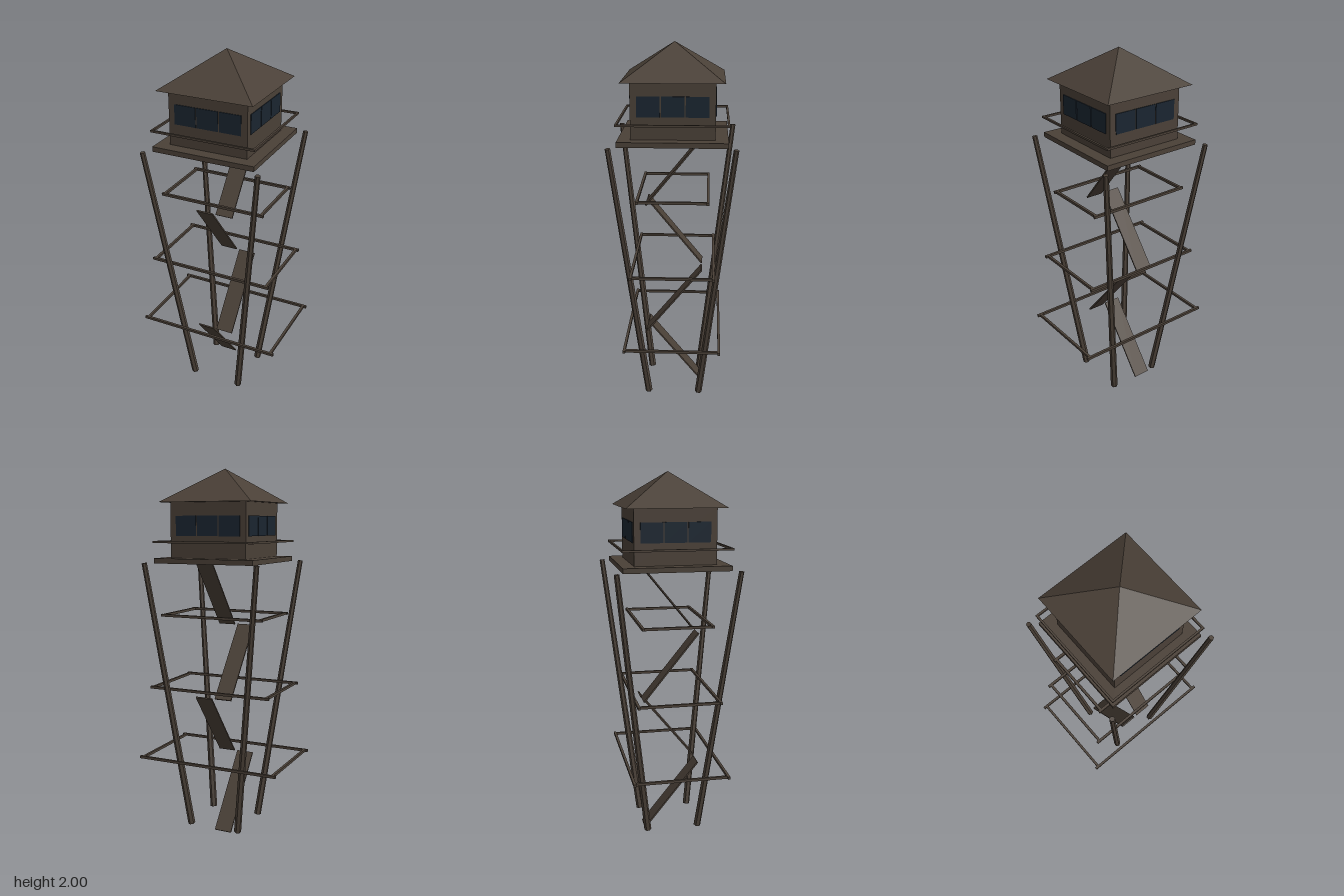
import * as THREE from 'three';

const paint = (color) => {
  const m = new THREE.MeshStandardMaterial({ flatShading: true });
  m.color.set(color);
  return m;
};

export function createModel() {
  const tower = new THREE.Group();
  tower.name = 'watchtower';
  const wood = paint(0x4a4037);
  const glass = paint(0x1a2530);

  const add = (name, geometry, material, x, y, z, parent = tower) => {
    const mesh = new THREE.Mesh(geometry, material);
    mesh.name = name;
    mesh.position.set(x, y, z);
    parent.add(mesh);
    return mesh;
  };
  const box = (name, w, h, d, x, y, z, material = wood, parent = tower) =>
    add(name, new THREE.BoxGeometry(w, h, d), material, x, y, z, parent);

  // Horizontal ring of four beams: x beams run to endX, z beams to endZ
  const ring = (name, y, atX, atZ, endX, endZ, t) => {
    const g = new THREE.Group();
    g.name = name;
    for (const s of [-1, 1]) {
      box('beamAcross', endX * 2, t, t, 0, y, s * atZ, wood, g);
      box('beamAlong', t, t, endZ * 2, s * atX, y, 0, wood, g);
    }
    tower.add(g);
  };

  // Four tapered legs splaying outward toward the top
  const up = new THREE.Vector3(0, 1, 0);
  for (const sx of [-1, 1]) for (const sz of [-1, 1]) {
    const foot = new THREE.Vector3(sx * 0.144, 0.014, sz * 0.144);
    const head = new THREE.Vector3(sx * 0.322, 1.503, sz * 0.322);
    const dir = head.clone().sub(foot);
    const mid = foot.clone().add(head).multiplyScalar(0.5);
    const leg = add('leg', new THREE.CylinderGeometry(0.014, 0.02, dir.length(), 6), wood, mid.x, mid.y, mid.z);
    leg.quaternion.setFromUnitVectors(up, dir.normalize());
  }

  // Brace rings, narrowing with height
  for (let i = 0; i < 3; i++) {
    const atX = 0.39 - i * 0.0525;
    const atZ = 0.255 - i * 0.035;
    ring('braceRing', 0.406 + i * 0.403, atX, atZ, 0.41 - i * 0.0555, atZ + 0.005, 0.014);
  }

  // Zigzag stair flights, alternating side and slope
  const rise = 0.378, run = 0.306;
  for (let i = 0; i < 4; i++) {
    const s = i % 2 ? 1 : -1;
    const flight = box('stairFlight', 0.098, 0.008, Math.hypot(rise, run), s * 0.058, 0.005 + rise * (i + 0.5), 0);
    flight.rotation.x = s * Math.atan2(rise, run);
  }

  // Platform with its railing
  box('platform', 0.57, 0.027, 0.57, 0, 1.514, 0);
  ring('railing', 1.613, 0.284, 0.284, 0.289, 0.289, 0.011);

  // Cabin with three panes on each wall
  box('cabin', 0.436, 0.295, 0.436, 0, 1.674, 0);
  for (let side = 0; side < 4; side++) {
    const wall = new THREE.Group();
    wall.name = 'windowRow';
    wall.rotation.y = side * Math.PI / 2;
    for (let i = -1; i <= 1; i++) box('windowPane', 0.119, 0.105, 0.008, i * 0.125, 1.697, 0.218, glass, wall);
    tower.add(wall);
  }

  // Pyramid roof
  const roof = add('roof', new THREE.ConeGeometry(0.265 * Math.SQRT2, 0.18, 4), wood, 0, 1.91, 0);
  roof.rotation.y = Math.PI / 4;

  return tower;
}
